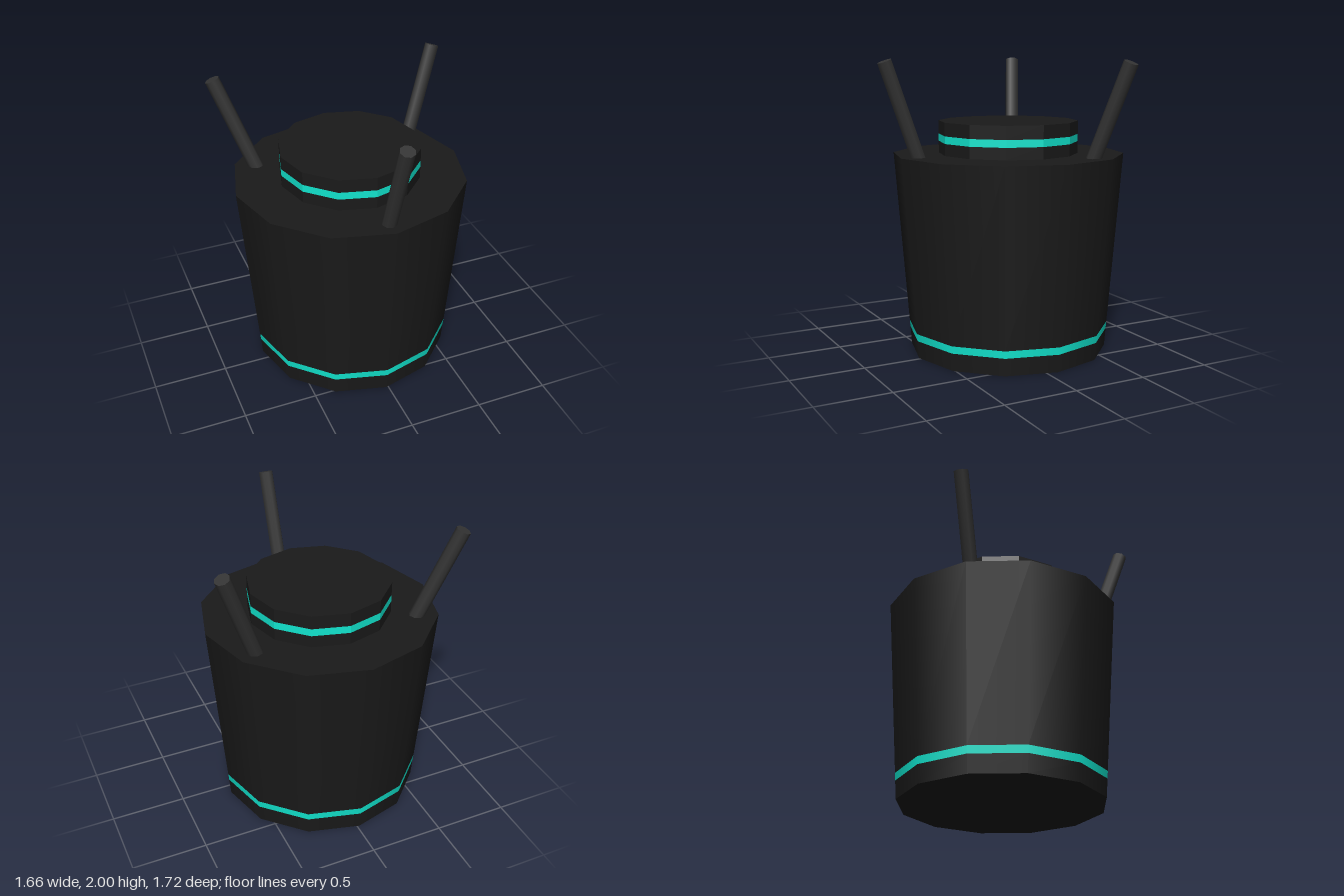
import * as THREE from 'three';

export function createModel() {
  const model = new THREE.Group();
  const CX = -0.015, CZ = -0.075;
  const black = new THREE.MeshStandardMaterial({ color: 0x1a1a1a });
  const blackFlat = new THREE.MeshStandardMaterial({ color: 0x1a1a1a, flatShading: true });
  const teal = new THREE.MeshStandardMaterial({ color: 0x11e6cf });
  const tealFlat = new THREE.MeshStandardMaterial({ color: 0x11e6cf, flatShading: true });
  const rodGrey = new THREE.MeshStandardMaterial({ color: 0x333333 });

  // Twelve-sided section between two heights
  function section(name, y0, y1, r0, r1, material, open = false) {
    const geometry = new THREE.CylinderGeometry(r1, r0, y1 - y0, 12, 1, open);
    const mesh = new THREE.Mesh(geometry, material);
    mesh.name = name;
    mesh.position.set(CX, (y0 + y1) / 2, CZ);
    model.add(mesh);
  }

  // Tapered body with a flush glowing band near the foot
  const bodyTop = 1.36;
  const radiusAt = y => 0.68 + (0.787 - 0.68) * y / bodyTop;
  const body = (name, y0, y1, material, open) =>
    section(name, y0, y1, radiusAt(y0), radiusAt(y1), material, open);
  body('bodyFoot', 0, 0.12, black);
  body('bodyBand', 0.12, 0.17, teal, true);
  body('bodyShell', 0.17, bodyTop, black);

  // Raised lid with its own band
  section('lidBase', bodyTop, 1.44, 0.475, 0.475, blackFlat);
  section('lidBand', 1.44, 1.49, 0.475, 0.475, tealFlat, true);
  section('lidTop', 1.49, 1.58, 0.475, 0.475, blackFlat);

  // Three rods leaning outward, rooted inside the body
  const rods = [
    ['frontRod', [-0.015, 1.36, 0.593], [-0.015, 1.983, 0.815]],
    ['leftRod', [0.56, 1.36, -0.395], [0.782, 1.977, -0.513]],
    ['rightRod', [-0.567, 1.36, -0.41], [-0.787, 1.977, -0.53]],
  ];
  const up = new THREE.Vector3(0, 1, 0);
  for (const [name, foot, tip] of rods) {
    const end = new THREE.Vector3(...tip);
    const axis = end.clone().sub(new THREE.Vector3(...foot));
    const length = axis.length() + 0.05;
    axis.normalize();
    const rod = new THREE.Mesh(new THREE.CylinderGeometry(0.049, 0.049, length, 8), rodGrey);
    rod.name = name;
    rod.quaternion.setFromUnitVectors(up, axis);
    rod.position.copy(end).addScaledVector(axis, -length / 2);
    model.add(rod);
  }

  return model;
}
